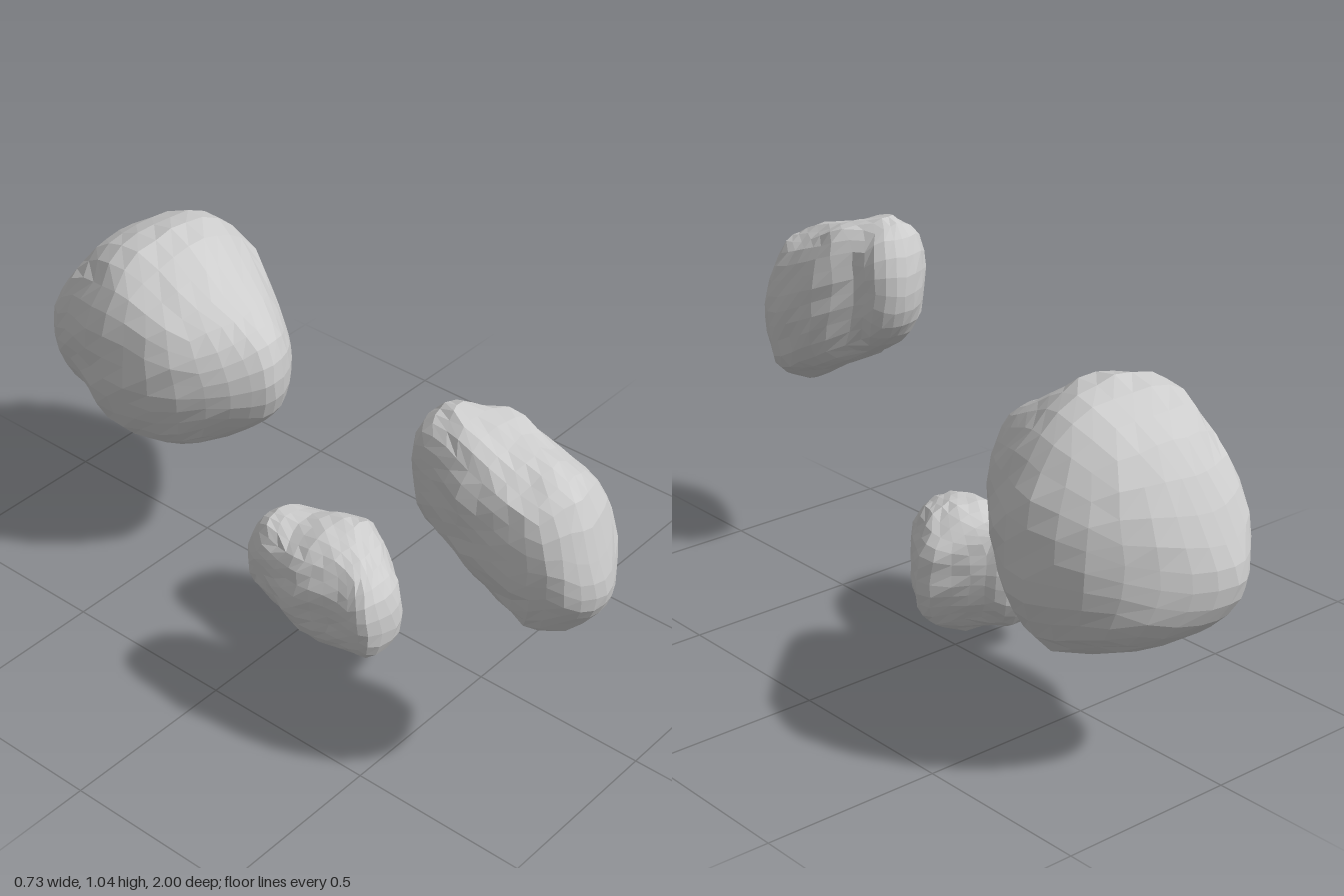
import * as THREE from 'three';

const N = 8; // facets along each side of the quad sphere

// Repeatable value in -1..1 for a direction, so shared corners stay joined
function chip(d, seed) {
  const q = (v) => Math.round(v * 1000) / 1000;
  const s = Math.sin(q(d.x) * 127.1 + q(d.y) * 311.7 + q(d.z) * 74.7 + seed) * 4375.85;
  return (s - Math.floor(s)) * 2 - 1;
}

// Wrap a quad sphere around sections [z, centreX, centreY, radiusX, radiusY], then roughen it
function rockGeometry(sections, { skew, fullness, lump, seed }) {
  const last = sections.length - 1;
  const mid = (sections[0][0] + sections[last][0]) / 2;
  const half = (sections[0][0] - sections[last][0]) / 2;
  const angleOf = (z) => Math.acos(THREE.MathUtils.clamp(z, -1, 1));
  const angles = sections.map((s) => angleOf((s[0] - mid) / half));

  // Smooth curve through the sections
  const slope = (i, k) => {
    const a = Math.max(0, i - 1);
    const b = Math.min(last, i + 1);
    return (sections[b][k] - sections[a][k]) / (angles[b] - angles[a]);
  };
  const sectionAt = (angle) => {
    let i = 0;
    while (i < last - 1 && angles[i + 1] < angle) i++;
    const w = angles[i + 1] - angles[i];
    const t = (angle - angles[i]) / w;
    const ease = t * t * (3 - 2 * t);
    return sections[i].map((v, k) => THREE.MathUtils.lerp(v, sections[i + 1][k], ease)
      + w * t * (1 - t) * ((1 - t) * slope(i, k) - t * slope(i + 1, k)));
  };

  const geometry = new THREE.BoxGeometry(2, 2, 2, N, N, N);
  const pos = geometry.attributes.position;
  const d = new THREE.Vector3();
  const spread = (v) => Math.tan((v * Math.PI) / 4);
  for (let i = 0; i < pos.count; i++) {
    d.fromBufferAttribute(pos, i);
    d.set(spread(d.x), spread(d.y), spread(d.z)).normalize();
    const [, cx, cy, rx, ry] = sectionAt(angleOf(d.z));
    const theta = Math.atan2(d.y, d.x);
    const c = Math.cos(theta);
    const s = Math.sin(theta);
    const square = (Math.abs(c) ** fullness + Math.abs(s) ** fullness) ** (-1 / fullness);
    const swell = Math.sin(d.x * 6 + seed) * Math.sin(d.y * 7 - seed) * Math.cos(d.z * 6 + seed);
    const r = square * (1 + lump * (swell + 0.5 * chip(d, seed)));
    const x = cx + rx * r * Math.cos(theta + skew);
    const y = cy + ry * r * s;
    const dz = 0.5 * lump * chip(d, seed + 2) * (1 - d.z * d.z);
    pos.setXYZ(i, x, Math.max(0, y), mid + half * (d.z + dz));
  }
  geometry.computeVertexNormals();
  return geometry;
}

export function createModel() {
  const stone = new THREE.MeshStandardMaterial({ color: 0xcccccc, flatShading: true });
  stone.name = 'paleGreyStone';

  const group = new THREE.Group();
  group.name = 'floatingRocks';
  const addRock = (name, shape, sections) => {
    const mesh = new THREE.Mesh(rockGeometry(sections, shape), stone);
    mesh.name = name;
    group.add(mesh);
  };

  // Tall rock, leaning back toward its top
  addRock('frontRock', { skew: 0.12, fullness: 2.4, lump: 0.045, seed: 1.3 }, [
    [1.0, -0.2, 0.67, 0, 0],
    [0.975, -0.205, 0.69, 0.075, 0.09],
    [0.93, -0.2, 0.73, 0.13, 0.18],
    [0.86, -0.195, 0.725, 0.163, 0.225],
    [0.72, -0.2, 0.78, 0.165, 0.215],
    [0.65, -0.2, 0.81, 0.158, 0.21],
    [0.58, -0.225, 0.84, 0.115, 0.195],
    [0.5, -0.22, 0.85, 0.095, 0.148],
    [0.45, -0.2, 0.84, 0, 0],
  ]);

  // Small low rock with a narrower back
  addRock('middleRock', { skew: 0.05, fullness: 2.25, lump: 0.045, seed: 4.1 }, [
    [0.32, -0.14, 0.16, 0, 0],
    [0.3, -0.165, 0.18, 0.075, 0.09],
    [0.25, -0.15, 0.185, 0.1, 0.135],
    [0.17, -0.118, 0.186, 0.132, 0.171],
    [0.06, -0.1, 0.185, 0.175, 0.178],
    [-0.02, -0.11, 0.19, 0.14, 0.15],
    [-0.09, -0.128, 0.205, 0.108, 0.145],
    [-0.145, -0.128, 0.198, 0.083, 0.1],
    [-0.17, -0.11, 0.19, 0, 0],
  ]);

  // Big rounded rock
  addRock('largeBackRock', { skew: 0.1, fullness: 2.15, lump: 0.026, seed: 7.7 }, [
    [-0.2, -0.03, 0.65, 0, 0],
    [-0.23, -0.01, 0.64, 0.075, 0.11],
    [-0.3, -0.005, 0.628, 0.155, 0.172],
    [-0.42, 0, 0.62, 0.248, 0.255],
    [-0.56, 0.032, 0.622, 0.308, 0.328],
    [-0.66, 0.05, 0.613, 0.32, 0.332],
    [-0.8, 0.055, 0.603, 0.265, 0.273],
    [-0.9, 0.025, 0.568, 0.195, 0.193],
    [-0.965, 0, 0.535, 0.105, 0.105],
    [-1.0, -0.03, 0.53, 0, 0],
  ]);

  return group;
}
